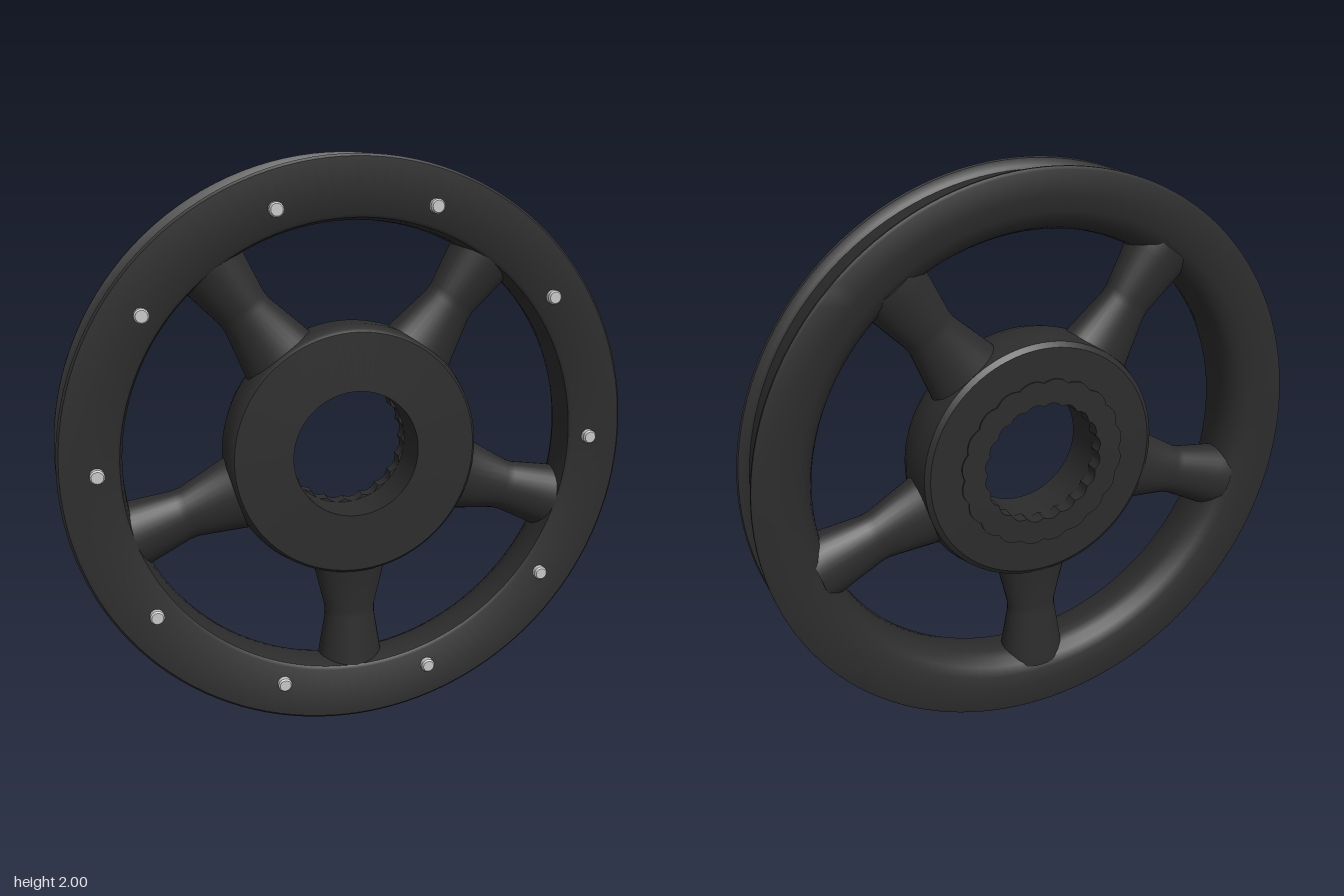
import * as THREE from 'three';
import { toCreasedNormals } from 'three/addons/utils/BufferGeometryUtils.js';

const black = new THREE.MeshStandardMaterial({ color: 0x2c2c2c });
black.name = 'black rubberised metal';
const silver = new THREE.MeshStandardMaterial({ color: 0xc8c8c8 });
silver.name = 'silver bolt metal';

// Revolve [radius, z] points around the z axis
function revolve(points, segments) {
  const g = new THREE.LatheGeometry(points.map(([r, z]) => new THREE.Vector2(r, z)), segments);
  g.rotateX(Math.PI / 2);
  return toCreasedNormals(g, 0.6);
}

function part(name, geometry, material) {
  const m = new THREE.Mesh(geometry, material);
  m.name = name;
  return m;
}

// Flared oval spoke running outwards along +y
function spokeGeometry() {
  const profile = [[0.14, 0.4], [0.132, 0.43], [0.092, 0.6], [0.092, 0.63], [0.118, 0.79], [0.118, 0.84], [0, 0.84]];
  const g = new THREE.LatheGeometry(profile.map(([r, y]) => new THREE.Vector2(r, y)), 32);
  const p = g.attributes.position;
  for (let i = 0; i < p.count; i++) {
    const t = (p.getY(i) - 0.4) / 0.44;
    p.setZ(i, p.getZ(i) * (0.64 + 0.16 * t) - 0.008);
  }
  return toCreasedNormals(g, 0.6);
}

// Thin ring with a wavy edge and a toothed bore
function toothedRing() {
  const ring = (radius, depth, lobes) => {
    const pts = [];
    for (let i = 0; i < 160; i++) {
      const a = (i / 160) * Math.PI * 2;
      const r = radius + depth * Math.abs(Math.sin((a * lobes) / 2));
      pts.push(new THREE.Vector2(r * Math.cos(a), r * Math.sin(a)));
    }
    return pts;
  };
  const shape = new THREE.Shape(ring(0.295, 0.012, 20));
  shape.holes.push(new THREE.Path(ring(0.211, 0.011, 20)));
  const g = new THREE.ExtrudeGeometry(shape, { depth: 0.05, bevelEnabled: false });
  return g.translate(0, 0, -0.112);
}

export function createModel() {
  const wheel = new THREE.Group();
  wheel.name = 'spokedWheel';
  wheel.position.y = 1;

  // Rim with a grooved edge between two flanges and a rounded back
  wheel.add(part('rim', revolve([
    [0.785, 0], [0.79, -0.03], [0.803, -0.06], [0.826, -0.085], [0.86, -0.1], [0.91, -0.107],
    [0.99, -0.11], [1, -0.106], [1, -0.097], [0.972, -0.09], [0.963, -0.08],
    [0.963, 0.065], [0.972, 0.073], [0.996, 0.077], [1, 0.083], [0.992, 0.09],
    [0.81, 0.09], [0.799, 0.083], [0.788, 0.045], [0.785, 0],
  ], 128), black));

  // Hub with a round bore
  wheel.add(part('hub', revolve([
    [0.222, -0.107], [0.415, -0.107], [0.432, -0.095], [0.445, -0.04],
    [0.445, 0.04], [0.435, 0.08], [0.425, 0.09], [0.222, 0.09], [0.222, -0.107],
  ], 96), black));
  wheel.add(part('toothedBoreRing', toothedRing(), black));

  // Five spokes, the first pointing down
  const spoke = spokeGeometry();
  for (let i = 0; i < 5; i++) {
    const m = part('spoke', spoke, black);
    m.rotation.z = Math.PI + (i * Math.PI * 2) / 5;
    wheel.add(m);
  }

  // Ten bolts on the front flange
  const bolt = revolve([[0.025, 0.08], [0.025, 0.108], [0.02, 0.114], [0, 0.114]], 16);
  for (let i = 0; i < 10; i++) {
    const a = (i * Math.PI) / 5;
    const m = part('bolt', bolt, silver);
    m.position.set(0.873 * Math.cos(a), 0.873 * Math.sin(a), 0);
    wheel.add(m);
  }

  const model = new THREE.Group();
  model.name = 'wheel';
  model.add(wheel);
  return model;
}
